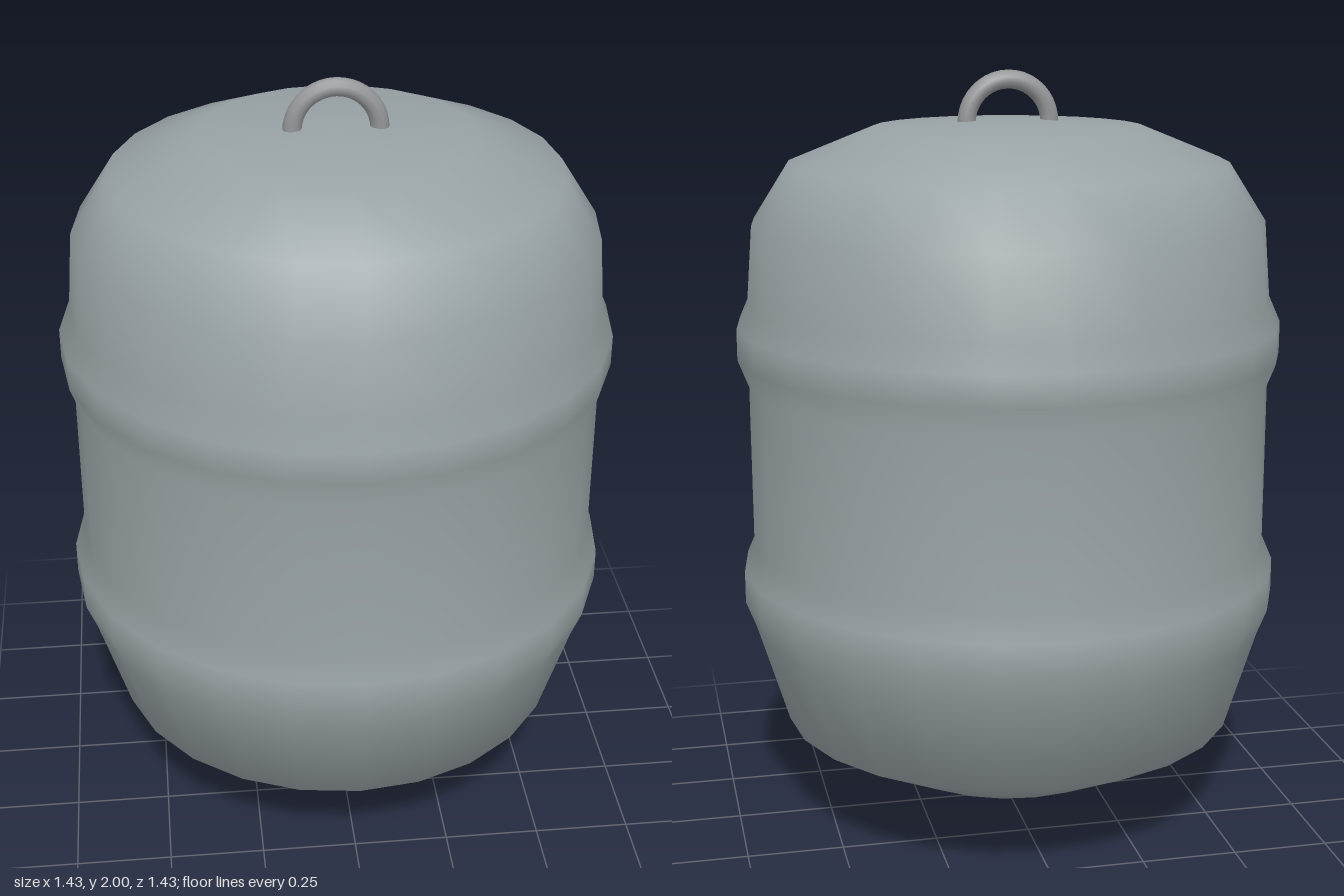
import * as THREE from 'three';
import { mergeVertices } from 'three/addons/utils/BufferGeometryUtils.js';

const bodyMaterial = new THREE.MeshStandardMaterial({ color: 0x98a2a5 });
const ringMaterial = new THREE.MeshStandardMaterial({ color: 0x949597 });

// Half-ring handle, arching upward from height y, or downward when flipped
function makeRing(name, radius, tube, y, flipped) {
  const ring = new THREE.Mesh(new THREE.TorusGeometry(radius, tube, 10, 20, Math.PI), ringMaterial);
  ring.name = name;
  ring.position.y = y;
  if (flipped) ring.rotation.z = Math.PI;
  return ring;
}

// Lathe whose smooth normals are weighted by face area, so small bevels blend softly
function makeSoftLathe(points, segments) {
  const lathe = new THREE.LatheGeometry(points, segments);
  lathe.deleteAttribute('uv');
  lathe.deleteAttribute('normal');
  const geometry = mergeVertices(lathe);
  geometry.computeVertexNormals();
  return geometry;
}

export function createModel() {
  const group = new THREE.Group();
  group.name = 'barrel';

  // Body: domed ends and two raised bands, profile from bottom to top
  const profile = [
    [0, 0.102], [0.33, 0.131], [0.605, 0.275], [0.687, 0.545],
    [0.714, 0.615], [0.714, 0.7], [0.686, 0.765],
    [0.686, 1.2],
    [0.714, 1.272], [0.714, 1.352], [0.684, 1.42],
    [0.668, 1.617], [0.572, 1.767], [0.35, 1.857], [0, 1.878],
  ].map(([r, y]) => new THREE.Vector2(r, y));
  const body = new THREE.Mesh(makeSoftLathe(profile, 24), bodyMaterial);
  body.name = 'body';
  group.add(body);

  // Lifting ring on top, smaller mooring ring underneath
  group.add(makeRing('topRing', 0.109, 0.024, 1.867, false));
  group.add(makeRing('bottomRing', 0.088, 0.021, 0.111, true));

  return group;
}
